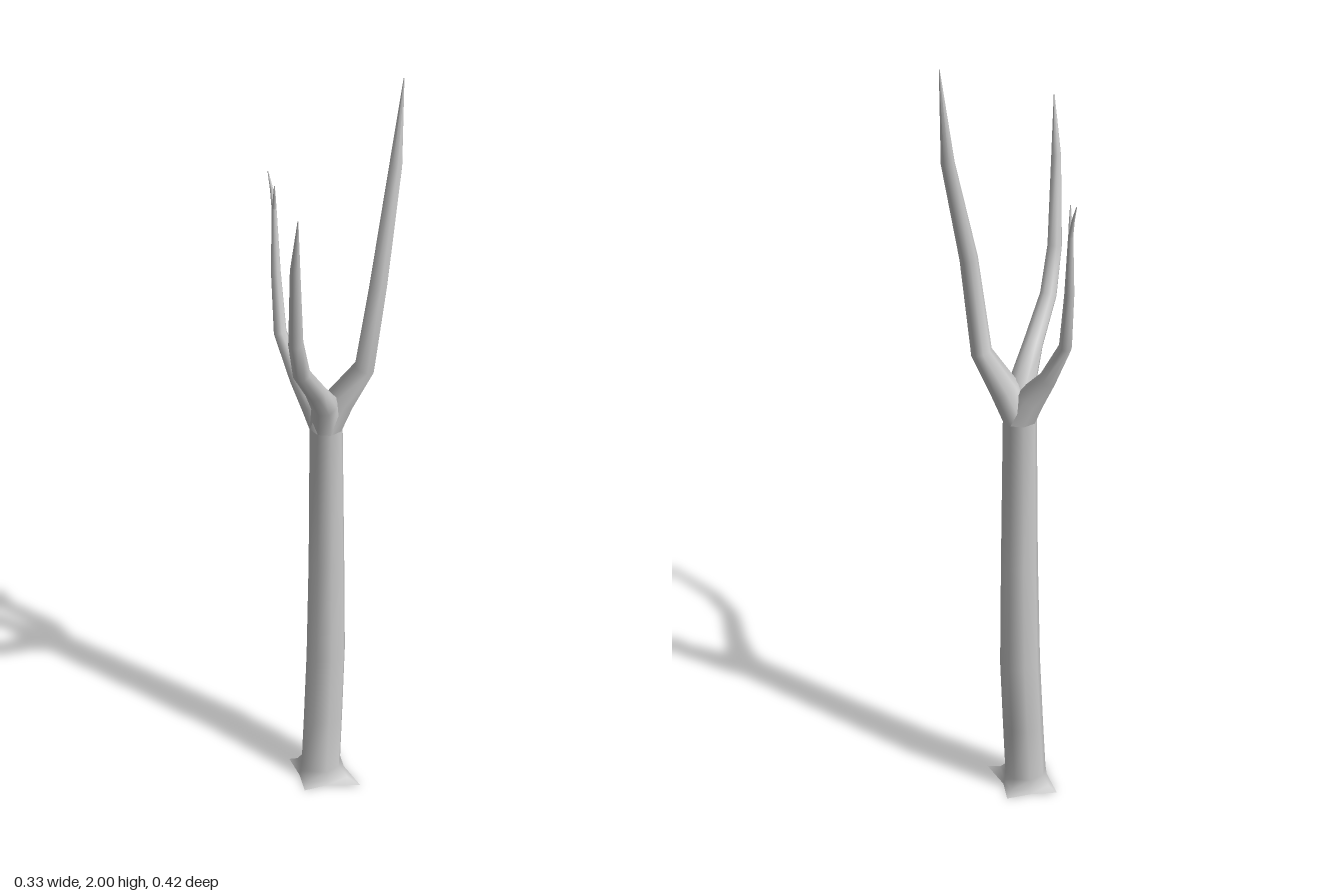
import * as THREE from 'three';

const SIDES = 8;
const material = new THREE.MeshStandardMaterial({ color: 0xcccccc });

// Skin a tube over stations [x, y, z, radius or list of radii per side]
function limb(name, stations, levelEnds = 1) {
  const pts = stations.map(([x, y, z]) => new THREE.Vector3(x, y, z));
  const last = pts.length - 1;
  const pos = [], index = [];
  pts.forEach((p, i) => {
    const tangent = new THREE.Vector3(0, 1, 0);
    if (i >= levelEnds) {
      tangent.subVectors(p, pts[i - 1]).normalize();
      if (i < last) tangent.add(pts[i + 1].clone().sub(p).normalize()).normalize();
    }
    const right = new THREE.Vector3(1, 0, 0).addScaledVector(tangent, -tangent.x).normalize();
    const fwd = right.clone().cross(tangent);
    for (let k = 0; k < SIDES; k++) {
      const a = (k / SIDES) * Math.PI * 2;
      const r = Array.isArray(stations[i][3]) ? stations[i][3][k] : stations[i][3];
      const v = p.clone().addScaledVector(right, Math.cos(a) * r).addScaledVector(fwd, Math.sin(a) * r);
      pos.push(v.x, v.y, v.z);
      if (i < last) {
        const n = (k + 1) % SIDES, b = i * SIDES, t = b + SIDES;
        index.push(b + k, t + k, b + n, b + n, t + k, t + n);
      }
    }
  });
  const g = new THREE.BufferGeometry();
  g.setAttribute('position', new THREE.Float32BufferAttribute(pos, 3));
  g.setIndex(index);
  g.computeVertexNormals();
  const mesh = new THREE.Mesh(g, material);
  mesh.name = name;
  return mesh;
}

export function createModel() {
  const tree = new THREE.Group();
  tree.name = 'bareTree';

  // Trunk with four pointed roots flaring at the ground
  const roots = [0.12, 0.06, 0.09, 0.06, 0.097, 0.06, 0.09, 0.06];
  const trunk = [
    [0.027, 0, -0.053, roots],
    [0.027, 0.013, -0.053, roots.map(r => 0.055 + (r - 0.055) * 0.4)],
    [0.027, 0.04, -0.053, 0.054],
    [0.027, 0.2, -0.064, 0.053],
    [0.027, 0.4, -0.076, 0.052],
    [0.027, 0.7, -0.076, 0.047],
    [0.025, 1.1, -0.073, 0.042],
  ];
  tree.add(limb('trunk', trunk, trunk.length));

  // Flat underside of the roots
  const outline = roots.map((r, k) => {
    const a = (k / SIDES) * Math.PI * 2;
    return new THREE.Vector2(0.027 + Math.cos(a) * r, -0.053 + Math.sin(a) * r);
  });
  const base = new THREE.Mesh(new THREE.ShapeGeometry(new THREE.Shape(outline)).rotateX(Math.PI / 2), material);
  base.name = 'rootBase';
  tree.add(base);

  // Three main branches share the trunk's top ring
  const fork = [0.025, 1.1, -0.073, 0.042];
  tree.add(limb('backBranch', [
    fork, [0.055, 1.18, -0.09, 0.037], [0.108, 1.275, -0.11, 0.026],
    [0.141, 1.51, -0.108, 0.022], [0.136, 1.78, -0.193, 0.016], [0.148, 2, -0.2, 0.001],
  ]));
  tree.add(limb('frontBranch', [
    fork, [0.035, 1.185, -0.045, 0.034], [0.045, 1.26, 0.02, 0.025], [0.052, 1.355, 0.1, 0.021],
    [0.062, 1.465, 0.145, 0.018], [0.08, 1.68, 0.18, 0.012], [0.103, 1.82, 0.208, 0.001],
  ]));
  tree.add(limb('leftBranch', [
    fork, [-0.006, 1.165, -0.068, 0.035], [-0.048, 1.225, -0.064, 0.022], [-0.103, 1.33, -0.075, 0.016],
    [-0.125, 1.48, -0.095, 0.012], [-0.14, 1.64, -0.115, 0.006],
  ]));

  // Twigs at the end of the left branch
  const twigStart = [-0.14, 1.635, -0.115, 0.006];
  tree.add(limb('outerTwig', [twigStart, [-0.152, 1.68, -0.125, 0.004], [-0.166, 1.72, -0.133, 0.001]]));
  tree.add(limb('innerTwig', [twigStart, [-0.135, 1.665, -0.108, 0.004], [-0.13, 1.705, -0.1, 0.001]]));

  return tree;
}
